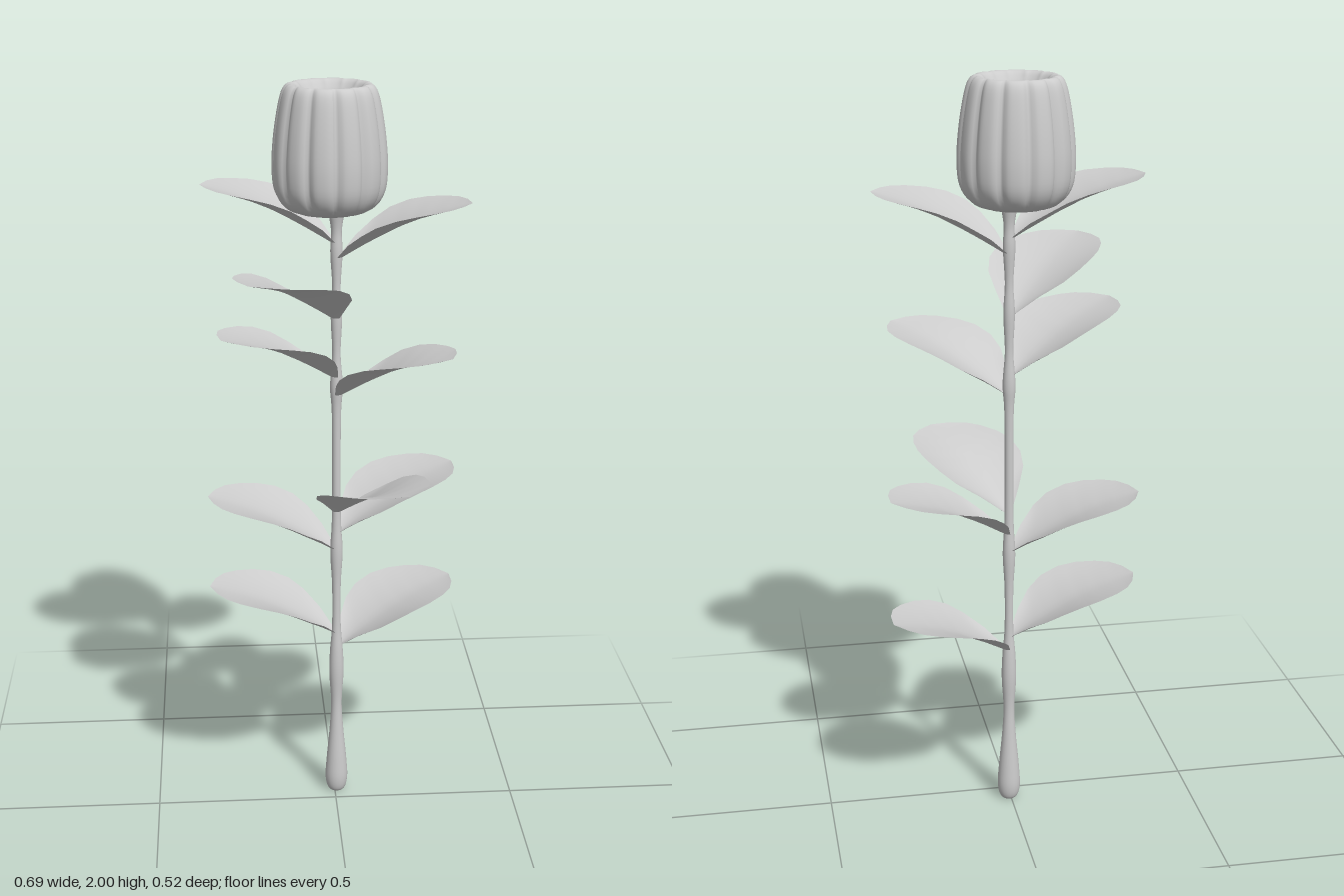
import * as THREE from 'three';

const material = new THREE.MeshStandardMaterial({ color: 0xcccccc });
const thinMaterial = new THREE.MeshStandardMaterial({ color: 0xcccccc, side: THREE.DoubleSide });
const STEM_X = 0.005, STEM_Z = -0.05;

const smooth = (points, n) =>
  new THREE.SplineCurve(points.map(([x, y]) => new THREE.Vector2(x, y))).getPoints(n);

// Linear lookup in rows of [key, value, value, ...]
function lookup(rows, key) {
  let i = 1;
  while (i < rows.length - 1 && rows[i][0] < key) i++;
  const a = rows[i - 1], b = rows[i];
  const f = (key - a[0]) / (b[0] - a[0]);
  return a.map((v, k) => v + (b[k] - v) * f);
}

// Stations along a leaf: distance, half width, midrib height, edge height
const LEAF = [
  [0, 0.008, 0, 0.005], [0.04, 0.066, 0.025, 0.055], [0.08, 0.113, 0.05, 0.09],
  [0.12, 0.135, 0.073, 0.117], [0.17, 0.142, 0.1, 0.137], [0.22, 0.135, 0.122, 0.148],
  [0.27, 0.115, 0.139, 0.155], [0.305, 0.09, 0.149, 0.159], [0.33, 0.052, 0.156, 0.161],
  [0.347, 0.002, 0.161, 0.161],
];

// Broad cupped leaf growing along +x from the origin
function leafGeometry() {
  const g = new THREE.PlaneGeometry(1, 2, 27, 12);
  const p = g.attributes.position;
  for (let i = 0; i < p.count; i++) {
    const t = -p.getY(i);
    const station = (p.getX(i) + 0.5) * (LEAF.length - 1);
    const k = Math.min(Math.floor(station + 1e-6), LEAF.length - 2);
    const s = THREE.MathUtils.lerp(LEAF[k][0], LEAF[k + 1][0], station - k);
    const [, w, mid, edge] = lookup(LEAF, s);
    p.setXYZ(i, s, mid + (edge - mid) * Math.abs(t) ** 1.6, t * w);
  }
  g.computeVertexNormals();
  return g;
}

// Ribbed bud with a shallow cup in the top
function budGeometry() {
  const profile = smooth([
    [0.0, 1.672], [0.06, 1.674], [0.112, 1.69], [0.141, 1.73], [0.148, 1.79],
    [0.144, 1.86], [0.134, 1.93], [0.122, 1.98], [0.107, 1.999], [0.09, 1.996],
    [0.076, 1.98], [0.064, 1.963], [0.035, 1.955], [0, 1.953],
  ], 52);
  const g = new THREE.LatheGeometry(profile, 120);
  const p = g.attributes.position;
  for (let i = 0; i < p.count; i++) {
    const x = p.getX(i), y = p.getY(i), z = p.getZ(i);
    const a = Math.atan2(z, x), r = Math.hypot(x, z);
    const groove = (1 - Math.abs(Math.sin(a * 6 + 0.4))) ** 2;
    const depth = 0.1 * THREE.MathUtils.smoothstep(r, 0.06, 0.12);
    const k = 1 - groove * depth;
    p.setXYZ(i, x * k, y, z * k);
  }
  g.computeVertexNormals();
  return g;
}

export function createModel() {
  const group = new THREE.Group();
  const add = (name, geometry, mat, x, y, z) => {
    const mesh = new THREE.Mesh(geometry, mat);
    mesh.name = name;
    mesh.position.set(x, y, z);
    group.add(mesh);
    return mesh;
  };

  // Stem with a swollen foot and slight knots at the leaf joints
  const stem = smooth([
    [0, 0], [0.022, 0.005], [0.031, 0.04], [0.028, 0.1], [0.019, 0.2], [0.015, 0.28],
    [0.02, 0.37], [0.018, 0.44], [0.012, 0.52], [0.012, 0.64], [0.017, 0.74],
    [0.012, 0.85], [0.012, 1.12], [0.017, 1.21], [0.011, 1.3], [0.015, 1.4],
    [0.011, 1.48], [0.016, 1.57], [0.014, 1.63], [0.024, 1.69],
  ], 90);
  stem.forEach((v) => { v.x = Math.max(v.x, 0); });
  add('stem', new THREE.LatheGeometry(stem, 20), material, STEM_X, 0, STEM_Z);

  add('flowerBud', budGeometry(), material, -0.012, 0, -0.054);

  // Leaves: base height and where the tip points, seen from above
  const leaves = [
    [0.45, 0.345, -0.175], [0.49, -0.345, -0.035], [0.74, -0.345, -0.07],
    [0.79, 0.345, -0.175], [0.85, 0.165, 0.247], [1.18, 0.285, 0.155],
    [1.23, -0.295, 0.12], [1.39, -0.225, 0.205], [1.55, 0.347, 0.03],
    [1.59, -0.35, -0.055],
  ];
  const leaf = leafGeometry();
  leaves.forEach(([y, tipX, tipZ], i) => {
    const mesh = add(`leaf${i + 1}`, leaf, thinMaterial, STEM_X, y, STEM_Z);
    mesh.rotation.y = -Math.atan2(tipZ - STEM_Z, tipX - STEM_X);
  });

  return group;
}
